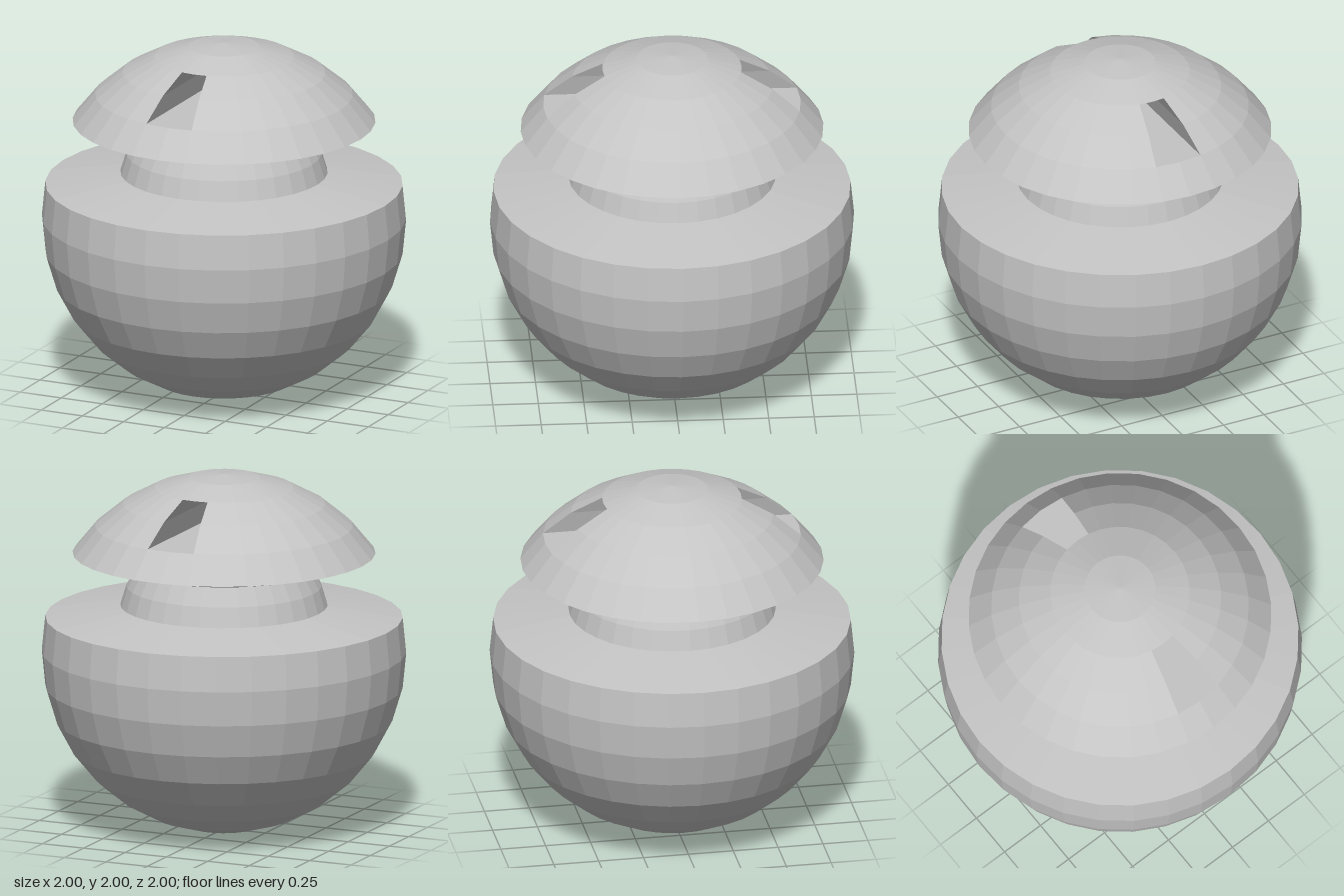
import * as THREE from 'three';

const SIDES = 32;
const STEP = Math.PI / 16; // angle between the sphere's rings, and of two sides

const grey = new THREE.MeshStandardMaterial({ color: 0xc4c4c4 });
grey.name = 'grey';

// Ring i of the ball, counted from the bottom pole (0) to the top pole (16)
const ring = (i, scale = 1, centre = 1) =>
  new THREE.Vector2(Math.max(0, Math.sin(i * STEP)) * scale, centre - Math.cos(i * STEP) * scale);

const rings = (from, to, scale, centre) =>
  Array.from({ length: to - from + 1 }, (_, k) => ring(from + k, scale, centre));

// Faceted mesh: every face keeps its own normal
function facetedMesh(name, geometry) {
  const flat = geometry.index ? geometry.toNonIndexed() : geometry;
  flat.computeVertexNormals();
  const mesh = new THREE.Mesh(flat, grey);
  mesh.name = name;
  return mesh;
}

const turned = (name, points, sides = SIDES, start = 0, sweep = Math.PI * 2) =>
  facetedMesh(name, new THREE.LatheGeometry(points, sides, start, sweep));

// Walls of the slot, running straight from the front opening to the back one
function tunnelGeometry() {
  const side = (i, s) => {
    const p = ring(i);
    return [s * p.x * Math.sin(STEP), p.y, p.x * Math.cos(STEP)];
  };
  const middle = (i) => [0, ring(i).y, ring(i).x];
  const loop = [
    side(12, -1), middle(12), side(12, 1), side(13, 1),
    side(14, 1), middle(14), side(14, -1), side(13, -1),
  ];
  const positions = [];
  loop.forEach((a, i) => {
    const b = loop[(i + 1) % loop.length];
    const back = ([x, y, z]) => [x, y, -z];
    positions.push(...back(a), ...a, ...b, ...back(a), ...b, ...back(b));
  });
  const geometry = new THREE.BufferGeometry();
  geometry.setAttribute('position', new THREE.Float32BufferAttribute(positions, 3));
  return geometry;
}

export function createModel() {
  const model = new THREE.Group();
  model.name = 'slottedBall';

  // Lower bowl of the ball
  model.add(turned('bowl', rings(0, 9)));

  // Groove cut around the ball: sloping shelf, recessed neck, underside of the cap
  const neck = rings(9, 11, 0.58, 1.148);
  model.add(turned('shelf', [ring(9), neck[0]]));
  model.add(turned('neck', neck));
  model.add(turned('capUnderside', [neck[2], ring(11)]));

  // Cap: full rim and crown, with the bands between them open at front and back
  model.add(turned('capRim', rings(11, 12)));
  for (const [name, start] of [['capLeft', 0], ['capRight', Math.PI]]) {
    model.add(turned(name, rings(12, 14), 14, start + STEP, Math.PI - 2 * STEP));
  }
  model.add(turned('capCrown', rings(14, 16)));
  model.add(facetedMesh('slotTunnel', tunnelGeometry()));

  return model;
}
